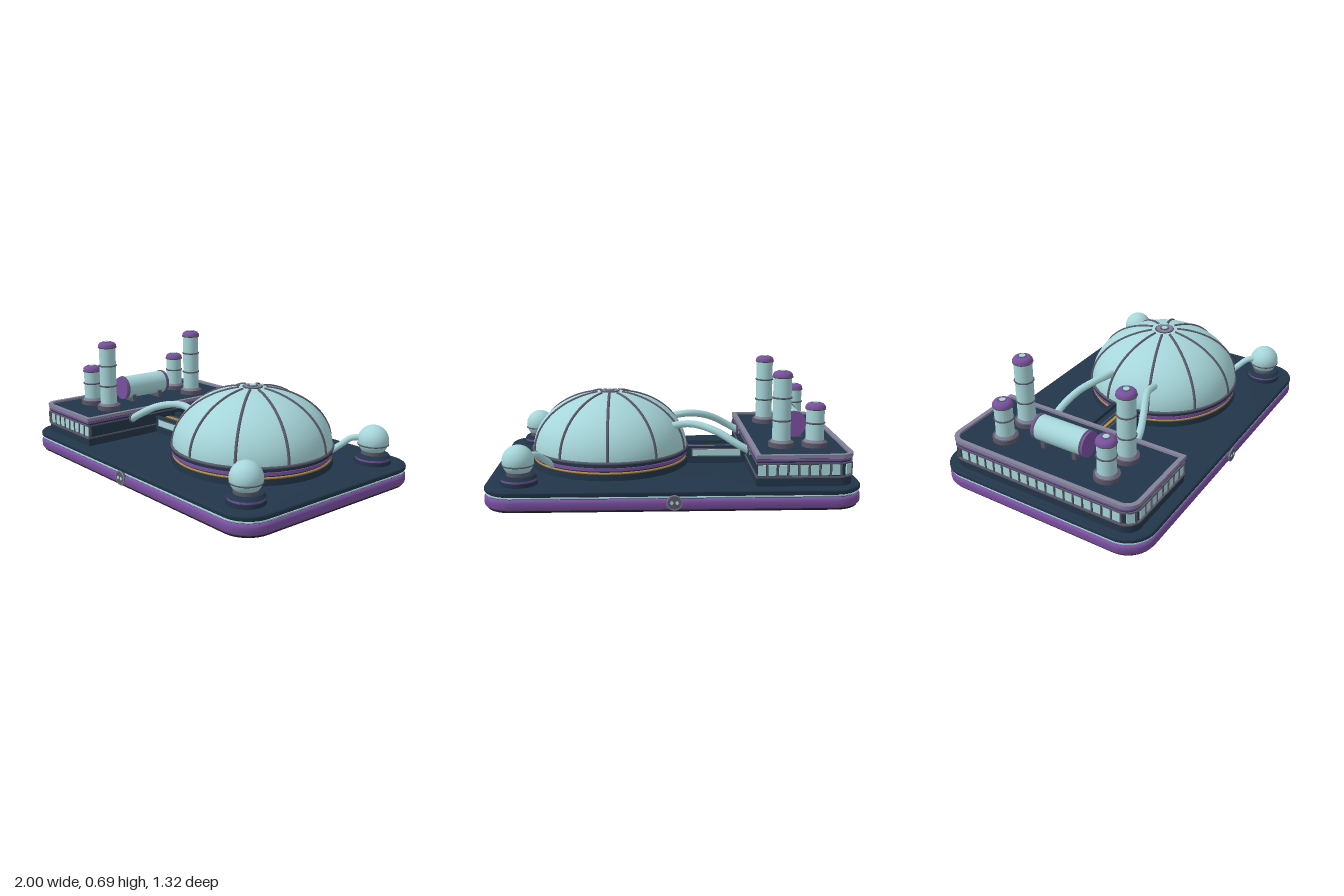
import * as THREE from 'three';
import { toCreasedNormals } from 'three/addons/utils/BufferGeometryUtils.js';

export function createModel() {
  const model = new THREE.Group();
  model.name = 'domedBase';
  const paint = (name, color) => {
    const m = new THREE.MeshStandardMaterial({ color });
    m.name = name;
    return m;
  };
  const navy = paint('navy', 0x22364a);
  const teal = paint('paleTeal', 0xa6d6da);
  const purple = paint('purple', 0x7a50a0);
  const steel = paint('steel', 0x83829a);
  const iron = paint('darkIron', 0x5a5868);
  const gold = paint('gold', 0xb98a3a);
  const charcoal = paint('charcoal', 0x242426);

  const V = (x, y, z) => new THREE.Vector3(x, y, z);
  const add = (name, geo, mat, x = 0, y = 0, z = 0, parent = model) => {
    const m = new THREE.Mesh(geo, mat);
    m.name = name;
    m.position.set(x, y, z);
    parent.add(m);
    return m;
  };
  const box = (name, mat, w, h, d, x, y, z, parent) =>
    add(name, new THREE.BoxGeometry(w, h, d), mat, x, y, z, parent);
  // Upright cylinder from y0 to y1
  const drum = (name, mat, r, y0, y1, x, z, parent, rTop = r) =>
    add(name, new THREE.CylinderGeometry(rTop, r, y1 - y0, r > 0.2 ? 64 : 28), mat, x, (y0 + y1) / 2, z, parent);
  // Horizontal ring
  const ring = (name, mat, r, t, x, y, z, parent) => {
    const m = add(name, new THREE.TorusGeometry(r, t, 8, r > 0.2 ? 64 : 28), mat, x, y, z, parent);
    m.rotation.x = Math.PI / 2;
    return m;
  };
  const tube = (name, mat, pts, r, parent) =>
    add(name, new THREE.TubeGeometry(new THREE.CatmullRomCurve3(pts), 28, r, 10), mat, 0, 0, 0, parent);

  // Rounded outline with separate radii for the -x and +x corners
  const outline = (x0, x1, h, rl, rr, Kind = THREE.Shape) => {
    const s = new Kind();
    s.moveTo(x0 + rl, -h);
    s.lineTo(x1 - rr, -h);
    if (rr) s.absarc(x1 - rr, -h + rr, rr, -Math.PI / 2, 0);
    s.lineTo(x1, h - rr);
    if (rr) s.absarc(x1 - rr, h - rr, rr, 0, Math.PI / 2);
    s.lineTo(x0 + rl, h);
    s.absarc(x0 + rl, h - rl, rl, Math.PI / 2, Math.PI);
    s.lineTo(x0, -h + rl);
    s.absarc(x0 + rl, -h + rl, rl, Math.PI, Math.PI * 1.5);
    return s;
  };
  // Horizontal slab from y0 to y1 with rounded edges of size b
  const slab = (name, mat, shape, y0, y1, b = 0) => {
    let g = new THREE.ExtrudeGeometry(shape, {
      depth: y1 - y0 - 2 * b, curveSegments: 10, bevelEnabled: b > 0,
      bevelThickness: b, bevelSize: b, bevelOffset: -b, bevelSegments: 4,
    });
    g = toCreasedNormals(g.rotateX(-Math.PI / 2), 0.6);
    return add(name, g, mat, 0, y0 + b, 0);
  };

  // Base plate in layers
  const baseShape = (inset) => outline(-1 + inset, 1 - inset, 0.645 - inset, 0.16 - inset, 0.16 - inset);
  slab('baseUnderside', charcoal, baseShape(0.012), 0, 0.03, 0.012);
  slab('basePurpleBand', purple, baseShape(0), 0.012, 0.074, 0.018);
  slab('baseGroove', navy, baseShape(0.012), 0.07, 0.09);
  slab('baseLightLine', teal, baseShape(0.007), 0.077, 0.084);
  slab('baseDeck', navy, baseShape(0), 0.088, 0.116, 0.01);

  // Round badges on the long sides
  for (const s of [1, -1]) {
    const badge = new THREE.Group();
    badge.name = 'sideBadge';
    model.add(badge);
    add('badgeDisc', new THREE.CylinderGeometry(0.038, 0.038, 0.02, 28), iron, 0, 0.055, s * 0.645, badge).rotation.x = Math.PI / 2;
    add('badgeRim', new THREE.TorusGeometry(0.038, 0.004, 8, 28), steel, 0, 0.055, s * 0.652, badge);
    for (const x of [-0.014, 0.014])
      add('badgeStud', new THREE.CylinderGeometry(0.01, 0.01, 0.004, 5), teal, x, 0.055, s * 0.656, badge).rotation.x = Math.PI / 2;
  }

  // Side building
  const hall = (inset) => outline(-0.955 + inset, -0.43 - inset * 0.5, 0.583 - inset, 0.085 - inset, 0);
  slab('hallFoundation', navy, hall(0.006), 0.11, 0.163);
  slab('hallLowerTrim', iron, hall(0.002), 0.16, 0.168);
  slab('hallWindowBand', navy, hall(0.014), 0.165, 0.24);
  slab('hallUpperTrim', iron, hall(0.002), 0.234, 0.242);
  slab('hallCornice', navy, hall(0.01), 0.24, 0.272);
  slab('hallPurpleStripe', purple, hall(0.004), 0.252, 0.262);
  const rim = hall(0);
  rim.holes.push(outline(-0.93, -0.455, 0.558, 0.06, 0.001, THREE.Path));
  slab('hallRoofRim', steel, rim, 0.266, 0.285);

  // Windows and mullions around three sides of the hall
  const pane = (x, z, yaw) => {
    const g = new THREE.Group();
    g.name = 'hallWindow';
    g.position.set(x, 0.201, z);
    g.rotation.y = yaw;
    model.add(g);
    box('windowPane', teal, 0.042, 0.056, 0.008, 0, 0, 0, g);
    box('windowMullion', iron, 0.006, 0.066, 0.016, 0.028, 0, 0, g);
  };
  for (const s of [1, -1]) {
    for (let i = 0; i < 8; i++) pane(-0.46 - i * 0.056, s * 0.57, s > 0 ? 0 : Math.PI);
    pane(-0.921, s * 0.549, s > 0 ? -Math.PI / 4 : -Math.PI * 0.75);
  }
  for (let i = 0; i < 18; i++) pane(-0.942, (i - 8.5) * 0.0565, -Math.PI / 2);

  // Chimney towers: short and tall on each side
  const tower = (x, z, top, bands) => {
    const g = new THREE.Group();
    g.name = 'tower';
    model.add(g);
    drum('towerFoot', iron, 0.07, 0.27, 0.298, x, z, g);
    drum('towerCollar', steel, 0.06, 0.298, 0.312, x, z, g, 0.053);
    drum('towerBody', teal, 0.05, 0.29, top - 0.03, x, z, g);
    for (const y of bands) ring('towerBand', iron, 0.051, 0.005, x, y, z, g);
    ring('towerCapBand', iron, 0.052, 0.005, x, top - 0.032, z, g);
    const cap = [[0.054, 0], [0.054, 0.012], [0.045, 0.024], [0.03, 0.03], [0, 0.03]];
    add('towerCap', new THREE.LatheGeometry(cap.map((p) => new THREE.Vector2(...p)), 28), purple, x, top - 0.03, z, g);
    drum('towerVentRim', iron, 0.024, top - 0.002, top + 0.002, x, z, g);
    drum('towerVent', teal, 0.017, top, top + 0.004, x, z, g);
  };
  for (const s of [1, -1]) {
    tower(-0.785, s * 0.325, 0.515, [0.405]);
    tower(-0.6, s * 0.325, 0.69, [0.42, 0.545]);
  }

  // Horizontal storage tank on the roof
  const tank = new THREE.Group();
  tank.name = 'storageTank';
  tank.position.set(-0.7, 0.36, 0);
  model.add(tank);
  const lying = (name, mat, r, len, z) =>
    (add(name, new THREE.CylinderGeometry(r, r, len, 32), mat, 0, 0, z, tank).rotation.x = Math.PI / 2);
  lying('tankBody', teal, 0.07, 0.3, 0);
  for (const s of [1, -1]) {
    lying('tankEndBand', iron, 0.074, 0.008, s * 0.148);
    lying('tankEnd', purple, 0.071, 0.016, s * 0.157);
    box('tankSaddle', iron, 0.11, 0.07, 0.025, 0, -0.06, s * 0.1, tank);
  }

  // Link corridor
  box('corridorBody', navy, 0.37, 0.085, 0.13, -0.26, 0.152, 0);
  box('corridorGoldLine', gold, 0.35, 0.008, 0.016, -0.26, 0.196, 0);
  for (const s of [1, -1]) {
    box('corridorWall', navy, 0.34, 0.105, 0.026, -0.265, 0.163, s * 0.076);
    box('corridorWindowFrame', iron, 0.29, 0.05, 0.004, -0.265, 0.18, s * 0.09);
    box('corridorWindow', teal, 0.275, 0.038, 0.006, -0.265, 0.18, s * 0.0905);
    box('corridorInnerRail', iron, 0.34, 0.006, 0.006, -0.265, 0.196, s * 0.025);
  }

  // Main dome with its stepped plinth
  const cx = 0.35, domeY = 0.21, R = 0.445, H = 0.322;
  drum('domePlinth', navy, 0.452, 0.11, 0.15, cx, 0);
  ring('domeGoldRing', gold, 0.44, 0.006, cx, 0.154, 0);
  drum('domeDrum', navy, 0.44, 0.15, 0.21, cx, 0);
  drum('domePurpleRing', purple, 0.448, 0.168, 0.184, cx, 0);
  drum('domeUpperRing', navy, 0.45, 0.188, 0.204, cx, 0);
  ring('domeSill', iron, 0.448, 0.008, cx, 0.21, 0);
  add('domeShell', new THREE.SphereGeometry(1, 64, 24, 0, Math.PI * 2, 0, Math.PI / 2), teal, cx, domeY, 0).scale.set(R, H, R);
  for (let k = 0; k < 10; k++) {
    const a = (18 + 36 * k) * Math.PI / 180;
    const pts = [];
    for (let i = 0; i <= 10; i++) {
      const t = 0.17 + (Math.PI / 2 - 0.17) * i / 10;
      pts.push(V(cx + R * Math.sin(t) * Math.cos(a), domeY + H * Math.cos(t), R * Math.sin(t) * Math.sin(a)));
    }
    tube('domeRib', iron, pts, 0.008);
  }
  drum('domeHub', steel, 0.054, 0.515, 0.536, cx, 0);
  ring('domeHubRing', iron, 0.052, 0.005, cx, 0.532, 0);
  drum('domeHubInset', iron, 0.028, 0.536, 0.54, cx, 0);
  drum('domeHubCap', teal, 0.018, 0.538, 0.543, cx, 0);

  // Pipes and corner spheres, mirrored front to back
  for (const s of [1, -1]) {
    tube('hallPipe', teal, [V(-0.45, 0.222, s * 0.268), V(-0.37, 0.268, s * 0.262), V(-0.26, 0.33, s * 0.222),
      V(-0.16, 0.36, s * 0.175), V(-0.09, 0.364, s * 0.15), V(-0.01, 0.352, s * 0.144)], 0.021);
    ring('hallPipeCollar', iron, 0.024, 0.006, -0.425, 0.237, s * 0.268).rotation.set(0, Math.PI / 2, 0);

    const tx = 0.82, tz = s * 0.475;
    drum('spherePedestal', navy, 0.102, 0.11, 0.138, tx, tz);
    drum('spherePurpleRing', purple, 0.094, 0.138, 0.15, tx, tz);
    drum('sphereSeat', navy, 0.098, 0.15, 0.166, tx, tz, model, 0.085);
    drum('sphereNeck', iron, 0.065, 0.16, 0.185, tx, tz);
    add('sphereTank', new THREE.SphereGeometry(0.085, 32, 20), teal, tx, 0.241, tz);
    ring('sphereBelt', iron, 0.083, 0.004, tx, 0.22, tz);
    tube('spherePipe', teal, [V(0.78, 0.255, s * 0.435), V(0.735, 0.25, s * 0.39),
      V(0.7, 0.215, s * 0.352), V(0.655, 0.17, s * 0.31)], 0.018);
  }
  return model;
}
